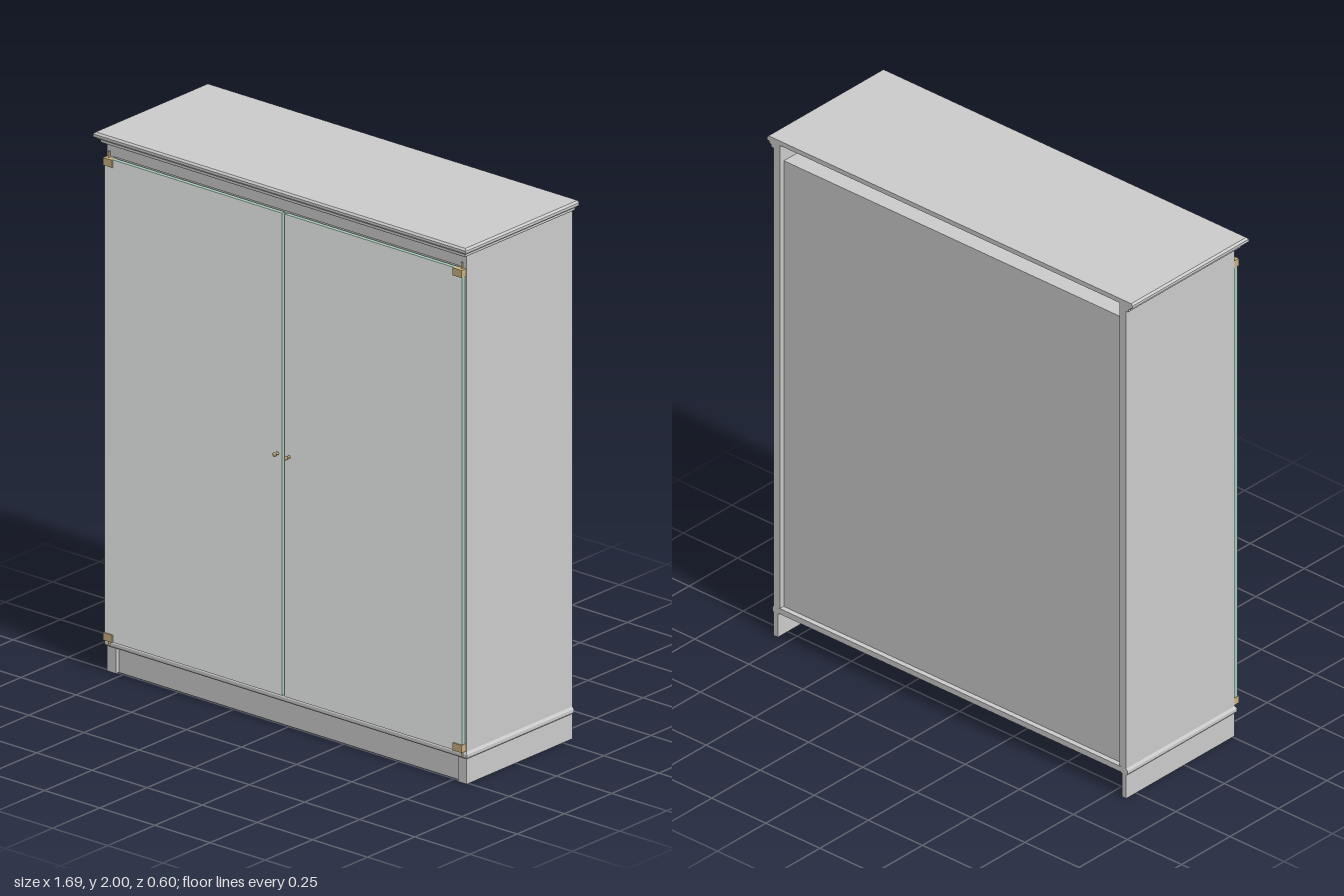
import * as THREE from 'three';

const grey = new THREE.MeshStandardMaterial({ color: 0xcccccc });
const glass = new THREE.MeshStandardMaterial({ color: 0xf2f7f4 });
const glassEdge = new THREE.MeshStandardMaterial({ color: 0xa4cbb6 });
const brass = new THREE.MeshStandardMaterial({ color: 0xc8b080 });

const BACK = -0.3, FRONT = 0.26, HALF = 0.815;

export function createModel() {
  const cabinet = new THREE.Group();
  cabinet.name = 'cabinet';

  const add = (name, geometry, material = grey) => {
    const mesh = new THREE.Mesh(geometry, material);
    mesh.name = name;
    cabinet.add(mesh);
    return mesh;
  };

  // Box given by its limits on each axis
  const box = (name, [x0, x1], [y0, y1], [z0, z1], material) => {
    const mesh = add(name, new THREE.BoxGeometry(x1 - x0, y1 - y0, z1 - z0), material);
    mesh.position.set((x0 + x1) / 2, (y0 + y1) / 2, (z0 + z1) / 2);
    return mesh;
  };

  // The same box on both sides of x = 0
  const pair = (name, [x0, x1], y, z, material) => {
    box(name + 'Left', [x0, x1], y, z, material);
    box(name + 'Right', [-x1, -x0], y, z, material);
  };

  // Plinth: two sides with corner feet, set-back front, open back
  pair('plinthSide', [0.795, HALF], [0, 0.1], [BACK, 0.225]);
  pair('frontFoot', [0.775, HALF], [0, 0.1], [0.225, FRONT]);
  box('plinthFront', [-0.795, 0.795], [0, 0.1], [0.225, 0.245]);
  box('floorBoard', [-0.81, 0.81], [0.097, 0.119], [BACK, FRONT]);
  add('baseMoulding', moulding([
    [0.79, 0.095], [0.818, 0.095], [0.821, 0.099], [0.821, 0.111], [0.815, 0.12], [0.79, 0.12],
  ], 0.555));

  // Carcass
  pair('sidePanel', [0.785, HALF], [0.12, 1.965], [BACK, FRONT]);
  box('backPanel', [-0.785, 0.785], [0.119, 1.91], [-0.28, -0.265]);
  box('carcassTop', [-0.785, 0.785], [1.89, 1.912], [-0.28, 0.255]);
  box('frieze', [-0.785, 0.785], [1.912, 1.965], [0.235, FRONT]);
  for (const y of [0.73, 1.33]) box('shelf', [-0.785, 0.785], [y - 0.011, y + 0.011], [-0.265, 0.245]);

  // Stepped cornice around three sides, with the top board inside it
  add('cornice', moulding([
    [0.785, 1.96], [0.824, 1.96], [0.826, 1.964], [0.826, 1.971], [0.834, 1.974], [0.836, 1.98],
    [0.845, 1.983], [0.845, 1.993], [0.838, 2], [0.785, 2],
  ], 0.545));
  box('topBoard', [-0.785, 0.785], [1.982, 2], [BACK, 0.24]);

  // Glass doors with tinted edges
  const doorMaterials = [glassEdge, glassEdge, glassEdge, glassEdge, glass, glass];
  pair('door', [0.006, 0.811], [0.122, 1.909], [0.263, 0.279], doorMaterials);

  // Corner hinges with their pivot pins
  for (const [y0, y1, pin] of [[0.122, 0.15, 0.112], [1.881, 1.909, 1.919]]) {
    pair('hinge', [0.772, 0.813], [y0, y1], [0.261, 0.284], brass);
    for (const s of [-1, 1]) {
      add('hingePin', new THREE.CylinderGeometry(0.004, 0.004, 0.024, 12), brass)
        .position.set(s * 0.8, pin, 0.267);
    }
  }

  // Turned knobs
  const knob = new THREE.LatheGeometry([
    [0, 0], [0.006, 0], [0.0035, 0.004], [0.0035, 0.01], [0.0075, 0.014], [0.0075, 0.019], [0, 0.021],
  ].map(([r, h]) => new THREE.Vector2(r, h)), 20).rotateX(Math.PI / 2);
  for (const s of [-1, 1]) add('knob', knob, brass).position.set(s * 0.026, 1.015, 0.279);

  return cabinet;
}

// Carries a closed profile of [offset, y] (counter-clockwise) round the right,
// front and left sides with mitred corners; the front lies at z = offset - inset
function moulding(profile, inset) {
  const path = ([o, y]) => [[-o, y, BACK], [-o, y, o - inset], [o, y, o - inset], [o, y, BACK]];
  const rails = profile.map(path);
  const positions = [];
  const n = profile.length;
  for (let i = 0; i < n; i++) {
    const lower = rails[i], upper = rails[(i + 1) % n];
    for (let j = 0; j < 3; j++) {
      for (const p of [lower[j], lower[j + 1], upper[j + 1], lower[j], upper[j + 1], upper[j]]) positions.push(...p);
    }
  }
  // End caps at the back
  const caps = THREE.ShapeUtils.triangulateShape(profile.map(([o, y]) => new THREE.Vector2(o, y)), []);
  for (const [a, b, c] of caps) {
    for (const k of [a, b, c]) positions.push(...rails[k][0]);
    for (const k of [c, b, a]) positions.push(...rails[k][3]);
  }
  const geometry = new THREE.BufferGeometry();
  geometry.setAttribute('position', new THREE.Float32BufferAttribute(positions, 3));
  geometry.computeVertexNormals();
  return geometry;
}
